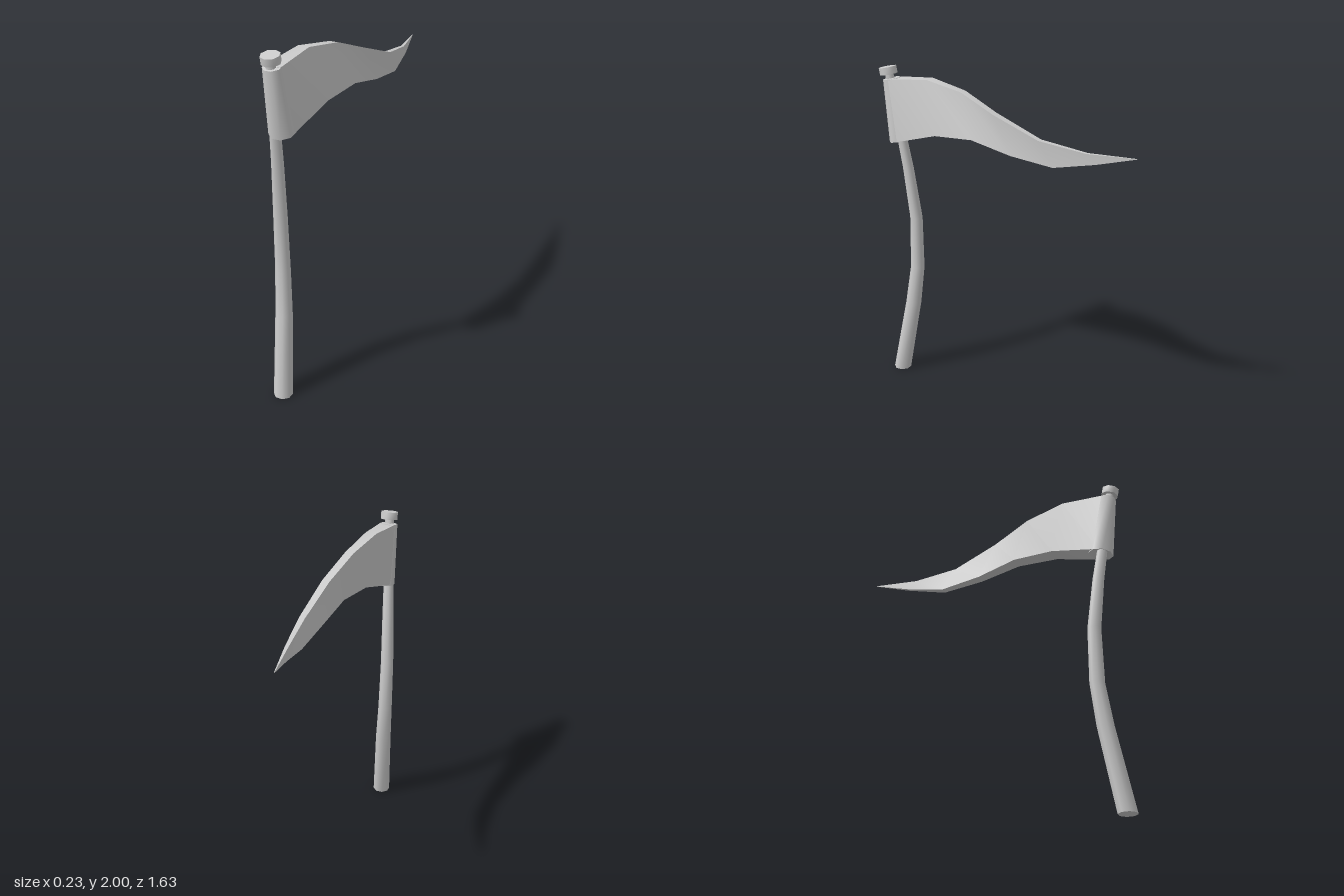
import * as THREE from 'three';
import { toCreasedNormals } from 'three/addons/utils/BufferGeometryUtils.js';

const material = new THREE.MeshStandardMaterial({ color: 0xcccccc });

// Closed skin through rings of [x, y, z] points, with capped ends
function loft(name, rings) {
  const n = rings[0].length;
  const index = [];
  for (let r = 0; r < rings.length - 1; r++) {
    for (let i = 0; i < n; i++) {
      const a = r * n + i;
      const b = r * n + ((i + 1) % n);
      index.push(a, b, b + n, a, b + n, a + n);
    }
  }
  const last = (rings.length - 1) * n;
  for (let i = 1; i < n - 1; i++) {
    index.push(0, i + 1, i);
    index.push(last, last + i, last + i + 1);
  }
  const geometry = new THREE.BufferGeometry();
  geometry.setAttribute('position', new THREE.Float32BufferAttribute(rings.flat(2), 3));
  geometry.setIndex(index);
  const mesh = new THREE.Mesh(toCreasedNormals(geometry, 0.9), material);
  mesh.name = name;
  return mesh;
}

// Eight-sided ring around (x, y, z); slope tips it along z
function ring(x, y, z, radius, slope = 0) {
  return Array.from({ length: 8 }, (_, i) => {
    const a = ((i + 0.5) * Math.PI) / 4;
    const k = radius / Math.cos(Math.PI / 8);
    const dz = -Math.sin(a) * k;
    return [x + Math.cos(a) * k, y + dz * slope, z + dz];
  });
}

export function createModel() {
  const group = new THREE.Group();

  // Bowed, tapering handle: x, y, z, radius
  const handle = [
    [-0.027, 0, 0.76, 0.05],
    [-0.058, 0.48, 0.675, 0.045],
    [-0.074, 0.73, 0.645, 0.04],
    [-0.079, 1.06, 0.645, 0.036],
    [-0.064, 1.38, 0.68, 0.031],
    [-0.054, 1.56, 0.708, 0.028],
    [-0.03, 1.96, 0.767, 0.024],
  ];
  group.add(loft('handle', handle.map((p) => ring(...p))));

  // Socket wrapped around the top of the handle
  group.add(loft('socket', [
    ring(-0.022, 1.562, 0.692, 0.066, -0.2),
    ring(-0.031, 1.924, 0.75, 0.048, -0.2),
  ]));

  // Curved blade: top z, y, left x, right x, then bottom z, y, left x, right x
  const blade = [
    [0.75, 1.926, -0.078, 0.016, 0.695, 1.562, -0.086, 0.042],
    [0.475, 1.955, -0.047, 0.018, 0.39, 1.655, -0.02, 0.08],
    [0.23, 1.92, 0, 0.05, 0.135, 1.675, 0.02, 0.105],
    [0, 1.835, 0.052, 0.097, -0.115, 1.625, 0.05, 0.113],
    [-0.285, 1.735, 0.08, 0.114, -0.37, 1.597, 0.065, 0.108],
    [-0.55, 1.695, 0.06, 0.08, -0.6, 1.64, 0.05, 0.071],
    [-0.81, 1.691, 0.018, 0.021, -0.81, 1.688, 0.018, 0.021],
  ];
  group.add(loft('blade', blade.map(([tz, ty, tl, tr, bz, by, bl, br]) => [
    [tl, ty, tz],
    [tr, ty, tz],
    [br, by, bz],
    [bl, by, bz],
  ])));

  // Pommel cap on the handle's end
  const cap = new THREE.Mesh(
    toCreasedNormals(new THREE.CylinderGeometry(0.052, 0.052, 0.043, 8), 0.9),
    material
  );
  cap.name = 'cap';
  cap.rotation.x = 0.2;
  cap.position.set(-0.027, 1.969, 0.769);
  group.add(cap);

  return group;
}
